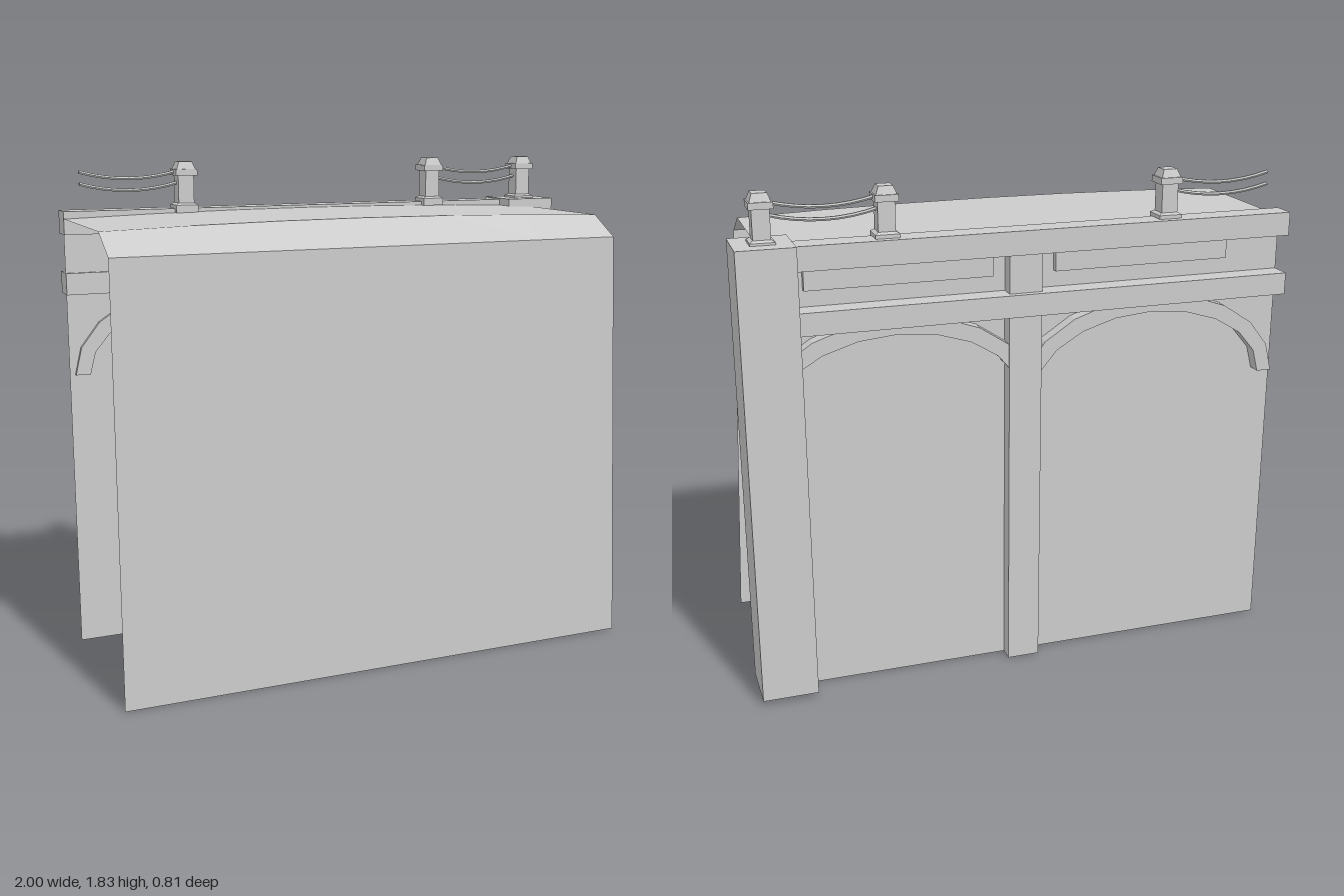
import * as THREE from 'three';

const mat = new THREE.MeshStandardMaterial({ color: 0xcccccc, flatShading: true, side: THREE.DoubleSide });

function add(parent, name, geo) {
  const m = new THREE.Mesh(geo, mat);
  m.name = name;
  parent.add(m);
  return m;
}

// Box from min/max extents, optionally without its underside
function box(parent, name, [x0, x1], [y0, y1], [z0, z1], openBottom = false) {
  const g = new THREE.BoxGeometry(x1 - x0, y1 - y0, z1 - z0);
  if (openBottom) {
    const idx = Array.from(g.index.array);
    idx.splice(18, 6);
    g.setIndex(idx);
    g.clearGroups();
  }
  g.translate((x0 + x1) / 2, (y0 + y1) / 2, (z0 + z1) / 2);
  return add(parent, name, g);
}

// Sheet lofted through cross-sections with equal point counts
function sheet(parent, name, sections) {
  const n = sections[0].length, idx = [];
  for (let i = 0; i < sections.length - 1; i++) {
    for (let j = 0; j < n - 1; j++) {
      const a = i * n + j, b = a + n;
      idx.push(a, b, a + 1, b, b + 1, a + 1);
    }
  }
  const g = new THREE.BufferGeometry();
  g.setAttribute('position', new THREE.Float32BufferAttribute(sections.flat(2), 3));
  g.setIndex(idx);
  g.computeVertexNormals();
  return add(parent, name, g);
}

// Square block that can taper upward
function block(parent, name, bottom, top, y0, y1) {
  const g = new THREE.CylinderGeometry(top / Math.SQRT2, bottom / Math.SQRT2, y1 - y0, 4);
  g.rotateY(Math.PI / 4);
  g.translate(0, (y0 + y1) / 2, 0);
  return add(parent, name, g);
}

// Short railing post with foot, shaft and tapered cap
function railingPost(x) {
  const p = new THREE.Group();
  p.name = 'railingPost';
  block(p, 'postFoot', 0.085, 0.085, 1.64, 1.668);
  block(p, 'postFootBevel', 0.085, 0.062, 1.668, 1.675);
  block(p, 'postShaft', 0.06, 0.06, 1.67, 1.78);
  block(p, 'postCapRim', 0.082, 0.082, 1.777, 1.8);
  block(p, 'postCapTop', 0.072, 0.05, 1.8, 1.828);
  p.position.set(x, 0, -0.31);
  return p;
}

// Elliptical brace with few facets
function archBrace(parent, cx) {
  const N = 10, s = new THREE.Shape();
  for (let i = 0; i <= N; i++) {
    const a = Math.PI * i / N;
    s[i ? 'lineTo' : 'moveTo'](0.5 * Math.cos(a), 0.33 * Math.sin(a));
  }
  for (let i = N; i >= 0; i--) {
    const a = Math.PI * i / N;
    s.lineTo(0.445 * Math.cos(a), 0.27 * Math.sin(a));
  }
  const g = new THREE.ExtrudeGeometry(s, { depth: 0.065, bevelEnabled: false });
  g.translate(cx, 1.05, -0.35);
  add(parent, 'archBrace', g);
}

export function createModel() {
  const model = new THREE.Group();
  model.name = 'wallSection';

  // Thin shell: front wall, bowed roof with sloped eave, back wall
  sheet(model, 'frontWall', [
    [[-1, 0, 0.4], [-1, 1.555, 0.4]],
    [[0.97, 0, 0.4], [0.9, 1.555, 0.4]],
  ].map(s => s.slice().reverse()));
  const sections = [];
  for (let i = 0; i <= 6; i++) {
    const x = -1 + 1.9 * i / 6;
    const y = 1.645 - 0.017 * ((x + 0.05) / 0.95) ** 2;
    sections.push([[x, y, -0.3], [x, y, 0.27], [x, 1.555, 0.4]].reverse());
  }
  sheet(model, 'roof', sections);
  sheet(model, 'backWall', [
    [[-1, 0, -0.3], [-1, 1.63, -0.3]],
    [[0.9, 0, -0.3], [0.9, 1.63, -0.3]],
  ]);

  // Timber frame on the back
  box(model, 'cornerPillar', [0.8, 1], [0.02, 1.66], [-0.41, -0.21], true);
  box(model, 'middlePost', [-0.06, 0.06], [0, 1.6], [-0.355, -0.255], true);
  box(model, 'topBeam', [-1, 0.82], [1.57, 1.655], [-0.38, -0.29]);
  box(model, 'lowerBeam', [-1, 0.82], [1.35, 1.43], [-0.38, -0.29]);
  for (const [a, b] of [[0.11, 0.77], [-0.78, -0.12]]) {
    box(model, 'infillPanel', [a, b], [1.49, 1.6], [-0.325, -0.125]);
  }
  for (const cx of [-0.48, 0.46]) archBrace(model, cx);

  // Railing posts and sagging ropes
  for (const x of [-0.54, 0.485, 0.9]) model.add(railingPost(x));
  for (const [x0, x1] of [[-0.935, -0.56], [0.505, 0.88]]) {
    for (const y of [1.795, 1.752]) {
      const curve = new THREE.QuadraticBezierCurve3(
        new THREE.Vector3(x0, y, -0.31),
        new THREE.Vector3((x0 + x1) / 2, y - 0.053, -0.31),
        new THREE.Vector3(x1, y, -0.31));
      add(model, 'rope', new THREE.TubeGeometry(curve, 8, 0.007, 6));
    }
  }
  return model;
}
